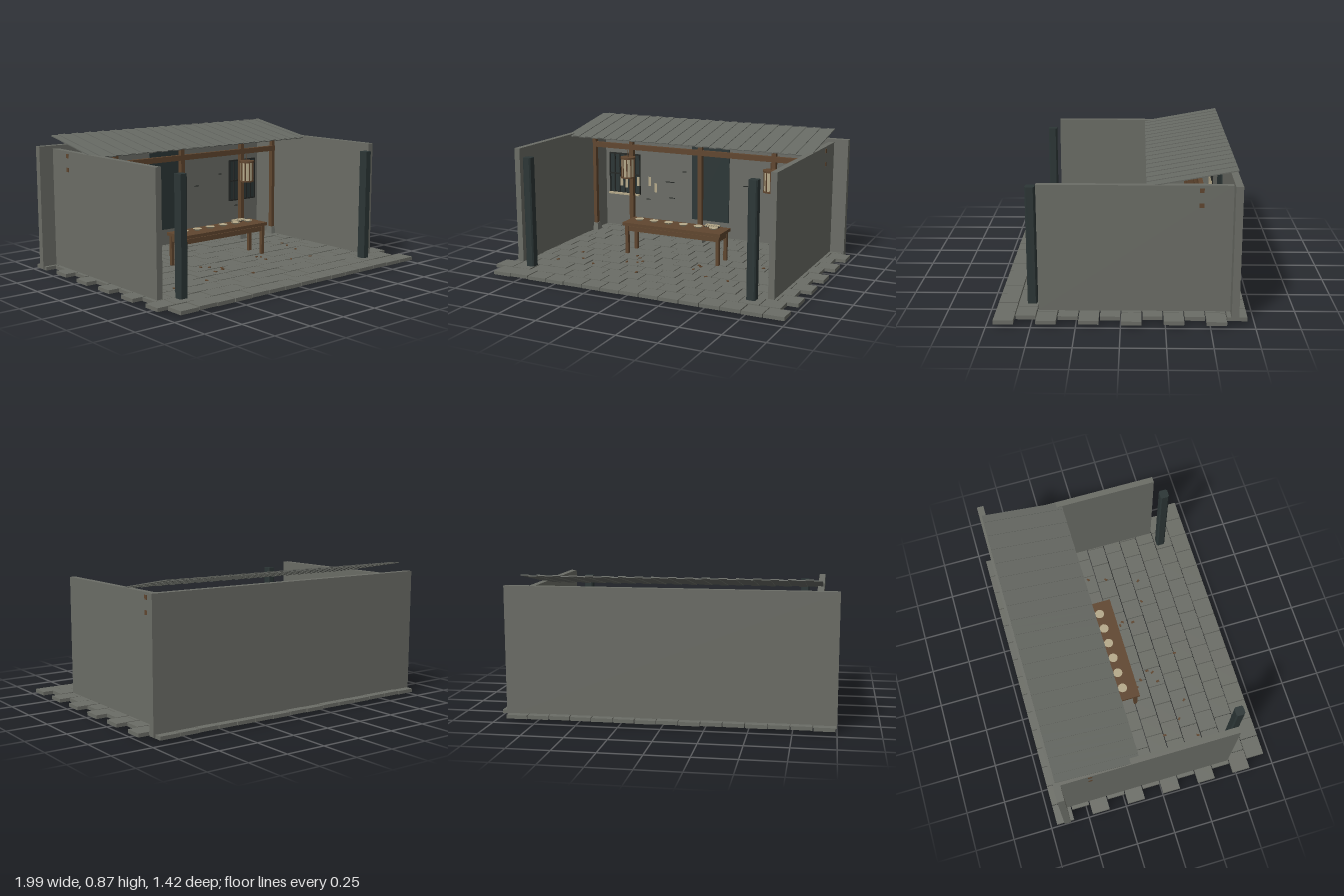
import * as THREE from 'three';

const mat = (name, color) => Object.assign(new THREE.MeshStandardMaterial({ color }), { name });

export function createModel() {
  const root = new THREE.Group();
  root.name = 'courtyardShelter';
  const stone = mat('stone', 0x6b6d66);
  const roofGrey = mat('roofGrey', 0x676a64);
  const wood = mat('wood', 0x60462f);
  const cream = mat('cream', 0xb5a98a);
  const dark = mat('darkSlate', 0x2c3636);
  const black = mat('charcoal', 0x252826);

  const add = (name, geo, material, x, y, z, parent = root) => {
    const m = new THREE.Mesh(geo, material);
    m.name = name;
    m.position.set(x, y, z);
    parent.add(m);
    return m;
  };
  // Box given by its two extents on each axis
  const box = (name, material, x0, x1, y0, y1, z0, z1, parent = root) =>
    add(name, new THREE.BoxGeometry(x1 - x0, y1 - y0, z1 - z0), material,
      (x0 + x1) / 2, (y0 + y1) / 2, (z0 + z1) / 2, parent);
  const group = (name) => {
    const g = new THREE.Group();
    g.name = name;
    root.add(g);
    return g;
  };
  let seed = 7;
  const rnd = () => (seed = (seed * 16807) % 2147483647) / 2147483647;
  const CX = -0.029; // middle of the building

  // Paving in staggered rows
  const paving = group('paving');
  for (let r = 0; r < 12; r++) {
    const z1 = 0.709 - r * 0.1187;
    const x0 = r % 2 ? -0.992 : -0.927;
    for (let i = 0; i < 15; i++) {
      const x = x0 + i * 0.1284, dy = (rnd() - 0.5) * 0.004;
      box('pavingStone', stone, x, x + 0.1235, 0.017 + dy, 0.039 + dy, z1 - 0.113, z1, paving);
    }
  }

  // Walls
  box('backWall', stone, -1, 0.942, 0.022, 0.8, -0.662, -0.62);
  for (const s of [-1, 1]) {
    const x = CX + s * 0.858;
    box('sideWall', stone, x - 0.019, x + 0.019, 0.04, 0.78, -0.62, 0.468);
  }

  // Free-standing dark posts with chamfered corners
  const postShape = new THREE.Shape();
  const h = 0.028, c = 0.02;
  [[-c, -h], [c, -h], [h, -c], [h, c], [c, h], [-c, h], [-h, c], [-h, -c]]
    .forEach(([x, y], i) => (i ? postShape.lineTo(x, y) : postShape.moveTo(x, y)));
  const postGeo = new THREE.ExtrudeGeometry(postShape, { depth: 0.74, bevelEnabled: false });
  postGeo.rotateX(-Math.PI / 2);
  for (const x of [-0.771, 0.73]) add('gatePost', postGeo, dark, x, 0, 0.512);

  // Sloping ribbed roof: alternating low and raised strips
  const roof = group('roof');
  roof.position.set(0, 0.8145, -0.393);
  const slope = Math.atan2(0.092, 0.503);
  roof.rotation.x = slope;
  const strips = 36, sw = 1.742 / strips;
  for (let i = 0; i < strips; i++) {
    const x = -0.9 + i * sw, up = i % 2 ? 0.002 : -0.002;
    box('roofStrip', roofGrey, x, x + sw, up - 0.003, up + 0.003, -0.256, 0.256, roof);
  }

  // Timber frame
  const frame = group('timberFrame');
  for (const dx of [-0.829, -0.53, 0, 0.53, 0.829]) {
    const x = CX + dx;
    box('pillar', wood, x - 0.015, x + 0.015, 0.08, 0.765, -0.46, -0.43, frame);
    const base = new THREE.CylinderGeometry(0.03, 0.043, 0.05, 4, 1);
    base.rotateY(Math.PI / 4);
    add('pillarBase', base.toNonIndexed(), stone, x, 0.065, -0.445, frame).geometry.computeVertexNormals();
  }
  box('upperBeam', wood, -0.908, 0.85, 0.738, 0.764, -0.458, -0.432, frame);
  box('lowerBeam', wood, -0.908, 0.85, 0.653, 0.679, -0.458, -0.432, frame);
  box('middleBeam', wood, -0.867, 0.81, 0.65, 0.686, -0.454, -0.428, frame);

  // Lanterns hung in front of two pillars
  for (const x of [-0.559, 0.501]) {
    const lantern = group('lantern');
    lantern.position.set(x, 0.535, -0.385);
    add('lanternPaper', new THREE.CylinderGeometry(0.045, 0.045, 0.135, 16), cream, 0, 0, 0, lantern);
    add('lanternCap', new THREE.CylinderGeometry(0.053, 0.053, 0.012, 16), wood, 0, 0.066, 0, lantern);
    add('lanternFoot', new THREE.CylinderGeometry(0.05, 0.05, 0.01, 16), wood, 0, -0.071, 0, lantern);
    add('lanternHanger', new THREE.CylinderGeometry(0.003, 0.003, 0.05, 6), wood, 0, 0.095, 0, lantern);
    for (let i = 0; i < 10; i++) {
      const a = (i + 0.5) * Math.PI / 5;
      const rib = add('lanternRib', new THREE.BoxGeometry(0.007, 0.135, 0.007), wood,
        Math.sin(a) * 0.045, 0, Math.cos(a) * 0.045, lantern);
      rib.rotation.y = a;
    }
  }

  // Door panel and barred windows on the back wall
  box('doorPanel', dark, -0.17, 0.113, 0.15, 0.712, -0.621, -0.612);
  for (const [x0, x1] of [[-0.83, -0.587], [0.535, 0.773]]) {
    const win = group('window');
    box('windowPane', dark, x0, x1, 0.285, 0.582, -0.621, -0.614, win);
    for (let i = 0; i <= 6; i++) {
      const x = x0 + (x1 - x0) * i / 6;
      box('windowBar', black, x - 0.004, x + 0.004, 0.285, 0.582, -0.618, -0.606, win);
    }
    for (const y of [0.288, 0.43, 0.578])
      box('windowRail', black, x0, x1, y - 0.005, y + 0.005, -0.618, -0.606, win);
  }
  box('windowSill', cream, -0.832, -0.585, 0.279, 0.291, -0.62, -0.585);

  // Paper slips on the wall
  const slips = [[-0.73, 0.375], [-0.69, 0.365], [-0.64, 0.405], [-0.595, 0.385], [-0.5, 0.395], [-0.452, 0.352]];
  for (const [x, y] of slips)
    box('paperSlip', cream, x - 0.01, x + 0.01, y - 0.033, y + 0.033, -0.604, -0.6);

  // Cracks in the plaster
  const cracks = [[-0.345, 0.4, 0.07], [-0.33, 0.285, 0.045], [0.235, 0.425, 0.04], [-0.52, 0.258, 0.03],
    [0.6, 0.245, 0.03], [-0.23, 0.485, 0.03], [0.45, 0.49, 0.025]];
  for (const [x, y, w] of cracks)
    box('wallCrack', black, x - w / 2, x + w / 2, y - 0.003, y + 0.003, -0.621, -0.617);

  // Table
  const table = group('table');
  box('tableTop', wood, -0.38, 0.32, 0.232, 0.252, -0.147, 0.025, table);
  for (const z of [-0.125, 0.003])
    box('tableApron', wood, -0.365, 0.305, 0.195, 0.226, z - 0.008, z + 0.008, table);
  for (const x of [-0.356, 0.296]) {
    box('tableEndRail', wood, x - 0.008, x + 0.008, 0.195, 0.232, -0.125, 0.003, table);
    for (const z of [-0.125, 0.003])
      box('tableLeg', wood, x - 0.011, x + 0.011, 0.039, 0.232, z - 0.011, z + 0.011, table);
  }

  // Dishes along the table
  const dish = new THREE.CylinderGeometry(0.03, 0.018, 0.012, 14);
  for (let i = 0; i < 6; i++) add('dish', dish, cream, -0.302 + i * 0.107, 0.258, -0.07, table);

  // Bundle of slats lying on the table
  box('bundleTray', black, 0.155, 0.25, 0.252, 0.256, -0.147, -0.106, table);
  for (let i = 0; i < 6; i++)
    box('bundleSlat', cream, 0.156 + i * 0.016, 0.167 + i * 0.016, 0.254, 0.264, -0.147, -0.106, table);
  box('bundleBand', cream, 0.155, 0.25, 0.256, 0.265, -0.145, -0.13, table);

  // Fallen leaves on the paving
  const leaves = [[-0.26, 0.045], [-0.22, 0.083], [-0.19, 0.174], [-0.17, 0.142], [-0.26, 0.19], [-0.63, 0.125],
    [-0.55, 0.25], [-0.69, 0.335], [-0.435, 0.32], [0.195, 0.062], [0.215, 0.083], [0.195, 0.152],
    [0.325, 0.254], [0.48, 0.275], [0.553, 0.062], [0.585, -0.056], [0.607, -0.13], [-0.1, 0.36]];
  for (const [x, z] of leaves) {
    const leaf = add('leaf', new THREE.BoxGeometry(0.02, 0.005, 0.012), wood, x, 0.043, z);
    leaf.rotation.y = rnd() * Math.PI;
  }
  return root;
}
